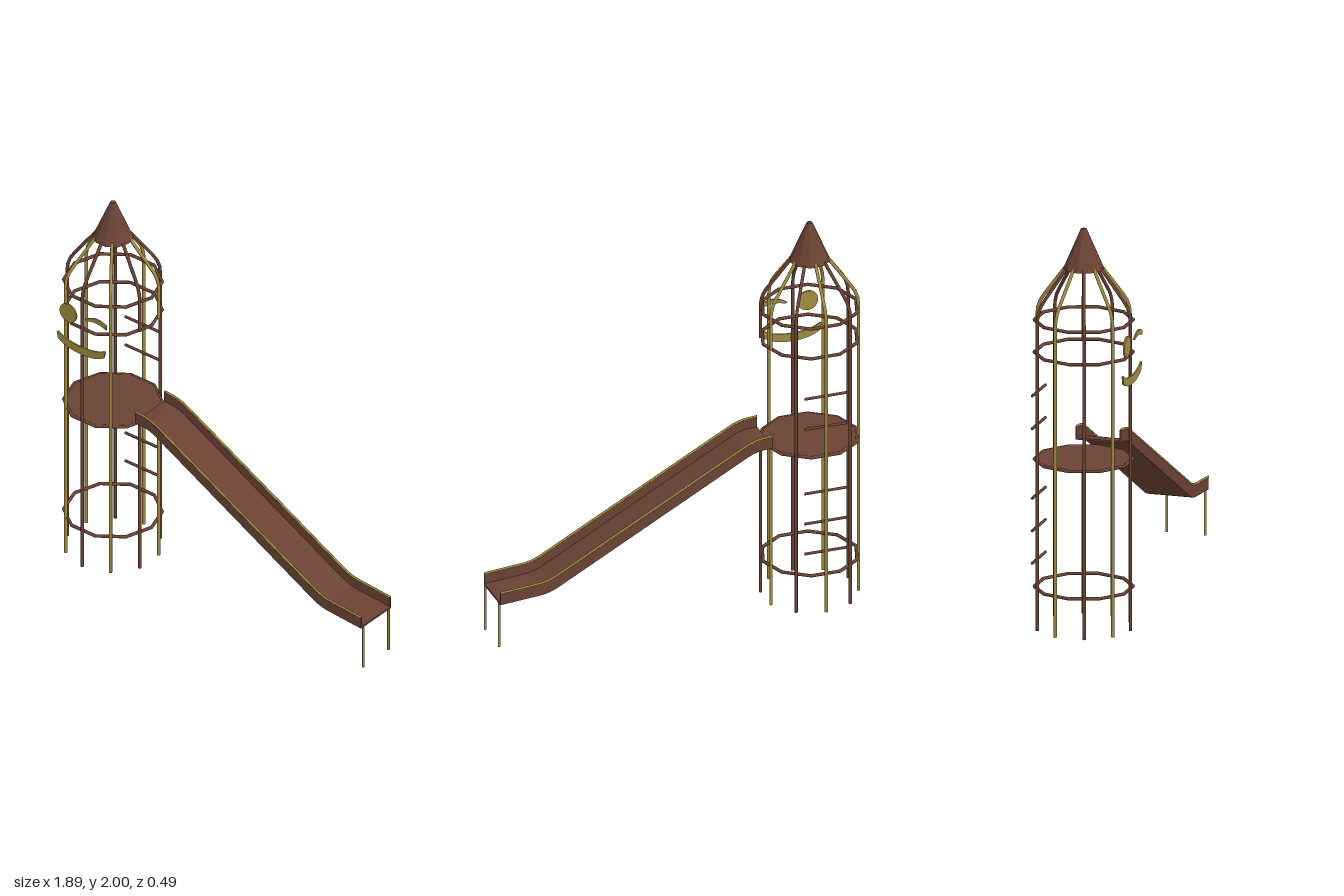
import * as THREE from 'three';

const brown = new THREE.MeshStandardMaterial({ color: 0x6b4234 });
brown.name = 'brown paint';
const yellow = new THREE.MeshStandardMaterial({ color: 0xa08c40 });
yellow.name = 'yellow paint';
const coneBrown = new THREE.MeshStandardMaterial({ color: 0x6b4234, flatShading: true });
coneBrown.name = 'faceted brown paint';

const V = (x, y, z = 0) => new THREE.Vector3(x, y, z);

function add(parent, name, geometry, material, x = 0, y = 0, z = 0) {
  const mesh = new THREE.Mesh(geometry, material);
  mesh.name = name;
  mesh.position.set(x, y, z);
  parent.add(mesh);
  return mesh;
}

// Tube through straight legs joined by rounded corners
function roundedPath(points, bend) {
  const path = new THREE.CurvePath();
  let from = points[0];
  for (let i = 1; i < points.length - 1; i++) {
    const p = points[i];
    const a = p.clone().add(points[i - 1].clone().sub(p).setLength(bend));
    const b = p.clone().add(points[i + 1].clone().sub(p).setLength(bend));
    path.add(new THREE.LineCurve3(from, a));
    path.add(new THREE.QuadraticBezierCurve3(a, p, b));
    from = b;
  }
  path.add(new THREE.LineCurve3(from, points[points.length - 1]));
  return path;
}

function plate(shape, depth) {
  return new THREE.ExtrudeGeometry(shape, { depth, bevelEnabled: false, curveSegments: 20 });
}

function buildTower() {
  const tower = new THREE.Group();
  tower.name = 'tower';
  tower.position.x = -0.7;

  // Ten bent posts in alternating colours; two stop for the slide opening
  const R = 0.237;
  for (let i = 0; i < 10; i++) {
    const a = (i * Math.PI) / 5;
    const s = Math.sin(a), c = Math.cos(a);
    const material = i % 2 ? yellow : brown;
    const open = i === 2 || i === 3;
    const path = roundedPath([
      V(R * s, open ? 1.38 : 0, R * c), V(R * s, 1.605, R * c), V(0.085 * s, 1.81, 0.085 * c),
    ], 0.055);
    add(tower, 'post', new THREE.TubeGeometry(path, 48, 0.0085, 8), material);
    if (open) {
      add(tower, 'lowerPost', new THREE.CylinderGeometry(0.0085, 0.0085, 0.845, 8), material,
        R * s, 0.4225, R * c);
    }
  }

  // Ten-sided hoops
  for (const y of [0.203, 0.843, 1.38, 1.542]) {
    const hoop = add(tower, 'hoop', new THREE.TorusGeometry(0.239, 0.0085, 8, 10), brown, 0, y, 0);
    hoop.rotation.x = Math.PI / 2;
  }

  // Platform
  const floor = add(tower, 'platform', new THREE.CylinderGeometry(0.238, 0.238, 0.012, 10), brown, 0, 0.843, 0);
  floor.rotation.y = Math.PI / 2;

  // Pointed roof
  const roof = add(tower, 'roofCone', new THREE.CylinderGeometry(0.014, 0.1, 0.2, 10), coneBrown, 0, 1.9, 0);
  roof.rotation.y = Math.PI / 2;

  // Ladder rungs at the back
  for (const y of [0.327, 0.49, 0.653, 1.003, 1.167]) {
    const rung = add(tower, 'rung', new THREE.CylinderGeometry(0.007, 0.007, 0.216, 8), brown, 0, y, -0.228);
    rung.rotation.z = Math.PI / 2;
  }

  // Winking face made of thin plates
  const face = new THREE.Group();
  face.name = 'face';
  face.position.z = 0.24;
  tower.add(face);

  const eye = new THREE.Shape().absarc(-0.08, 1.447, 0.052, 0, Math.PI * 2);
  add(face, 'openEye', plate(eye, 0.008), yellow);

  const wink = new THREE.Shape();
  wink.moveTo(0.025, 1.455);
  wink.quadraticCurveTo(0.095, 1.506, 0.158, 1.468);
  wink.lineTo(0.156, 1.446);
  wink.quadraticCurveTo(0.095, 1.472, 0.038, 1.45);
  add(face, 'winkingEye', plate(wink, 0.008), yellow);

  const smile = new THREE.Shape();
  smile.moveTo(-0.15, 1.312);
  smile.lineTo(-0.143, 1.278);
  smile.bezierCurveTo(-0.08, 1.228, 0.08, 1.228, 0.143, 1.278);
  smile.lineTo(0.15, 1.312);
  smile.lineTo(0.143, 1.317);
  smile.bezierCurveTo(0.08, 1.272, -0.08, 1.272, -0.143, 1.317);
  add(face, 'smile', plate(smile, 0.008), yellow);
  return tower;
}

function buildSlide() {
  const slide = new THREE.Group();
  slide.name = 'slide';
  const bottom = roundedPath([V(-0.47, 0.868), V(-0.385, 0.865), V(0.68, 0.283), V(0.934, 0.262)], 0.05).getSpacedPoints(60);
  const top = roundedPath([V(-0.47, 0.934), V(-0.375, 0.926), V(0.69, 0.347), V(0.934, 0.326)], 0.05);
  const topPoints = top.getSpacedPoints(60);

  // Chute bed
  const bed = new THREE.Shape([
    ...bottom.map((p) => new THREE.Vector2(p.x, p.y)),
    ...bottom.slice().reverse().map((p) => new THREE.Vector2(p.x, p.y + 0.01)),
  ]);
  add(slide, 'chuteBed', plate(bed, 0.22), brown, 0, 0, -0.11);

  // Side walls, top rails and end legs
  const wall = new THREE.Shape([
    ...bottom.map((p) => new THREE.Vector2(p.x, p.y)),
    ...topPoints.reverse().map((p) => new THREE.Vector2(p.x, p.y)),
  ]);
  for (const side of [-1, 1]) {
    add(slide, 'sideWall', plate(wall, 0.006), brown, 0, 0, side * 0.112 - 0.003);
    add(slide, 'rail', new THREE.TubeGeometry(top, 60, 0.0055, 8), yellow, 0, 0, side * 0.113);
    add(slide, 'slideLeg', new THREE.CylinderGeometry(0.0065, 0.0065, 0.235, 8), yellow, 0.934, 0.1475, side * 0.097);
  }
  return slide;
}

export function createModel() {
  const model = new THREE.Group();
  model.name = 'rocketTowerSlide';
  model.add(buildTower(), buildSlide());
  return model;
}
